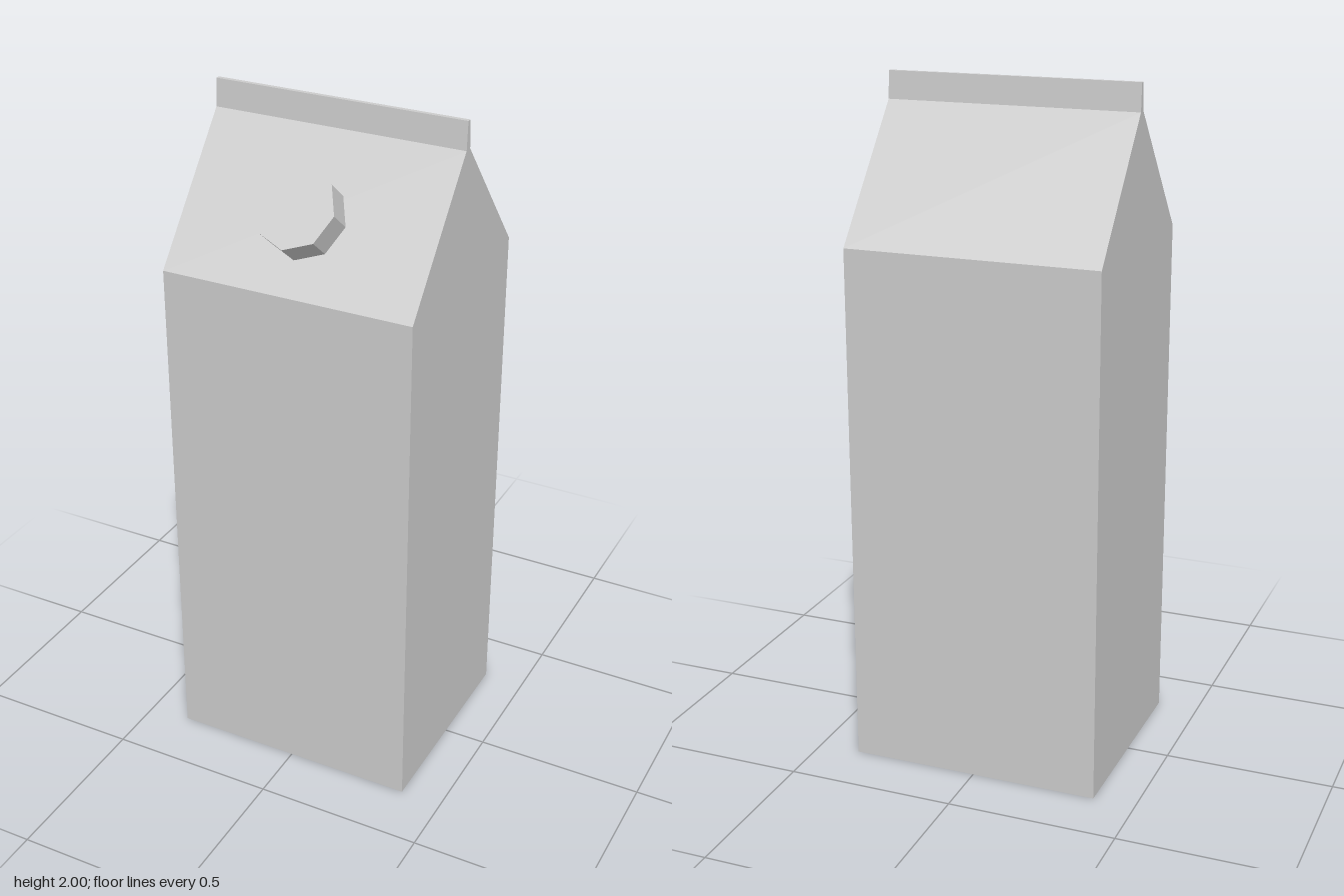
import * as THREE from 'three';

const WIDTH = 0.75;
const material = new THREE.MeshStandardMaterial({ color: 0xcccccc, flatShading: true });

// Extrudes a side profile of [z, y] points across the carton's width.
function profilePart(name, points) {
  const shape = new THREE.Shape(points.map(([z, y]) => new THREE.Vector2(z, y)));
  const geometry = new THREE.ExtrudeGeometry(shape, { depth: WIDTH, bevelEnabled: false });
  geometry.translate(0, 0, -WIDTH / 2).rotateY(-Math.PI / 2);
  const mesh = new THREE.Mesh(geometry, material);
  mesh.name = name;
  return mesh;
}

export function createModel() {
  const group = new THREE.Group();
  group.name = 'carton';

  // Box with a gabled roof
  group.add(profilePart('cartonBody', [
    [-0.32, 0], [0.32, 0], [0.32, 1.55], [0.011, 1.92], [-0.012, 1.92], [-0.32, 1.55],
  ]));

  // Sealed fin along the ridge, slightly tapered
  group.add(profilePart('topSeal', [
    [-0.012, 1.92], [0.011, 1.92], [0.006, 2], [-0.007, 2],
  ]));

  // Eight-sided screw cap standing square to the front roof slope
  const tilt = Math.atan2(0.37, 0.309);
  const height = 0.09;
  const cap = new THREE.Mesh(new THREE.CylinderGeometry(0.116, 0.116, height, 8), material);
  cap.geometry.translate(0, height / 2 - 0.004, 0);
  cap.name = 'screwCap';
  cap.rotation.x = tilt;
  cap.position.set(-0.006, 1.719, 0.178);
  group.add(cap);

  return group;
}
